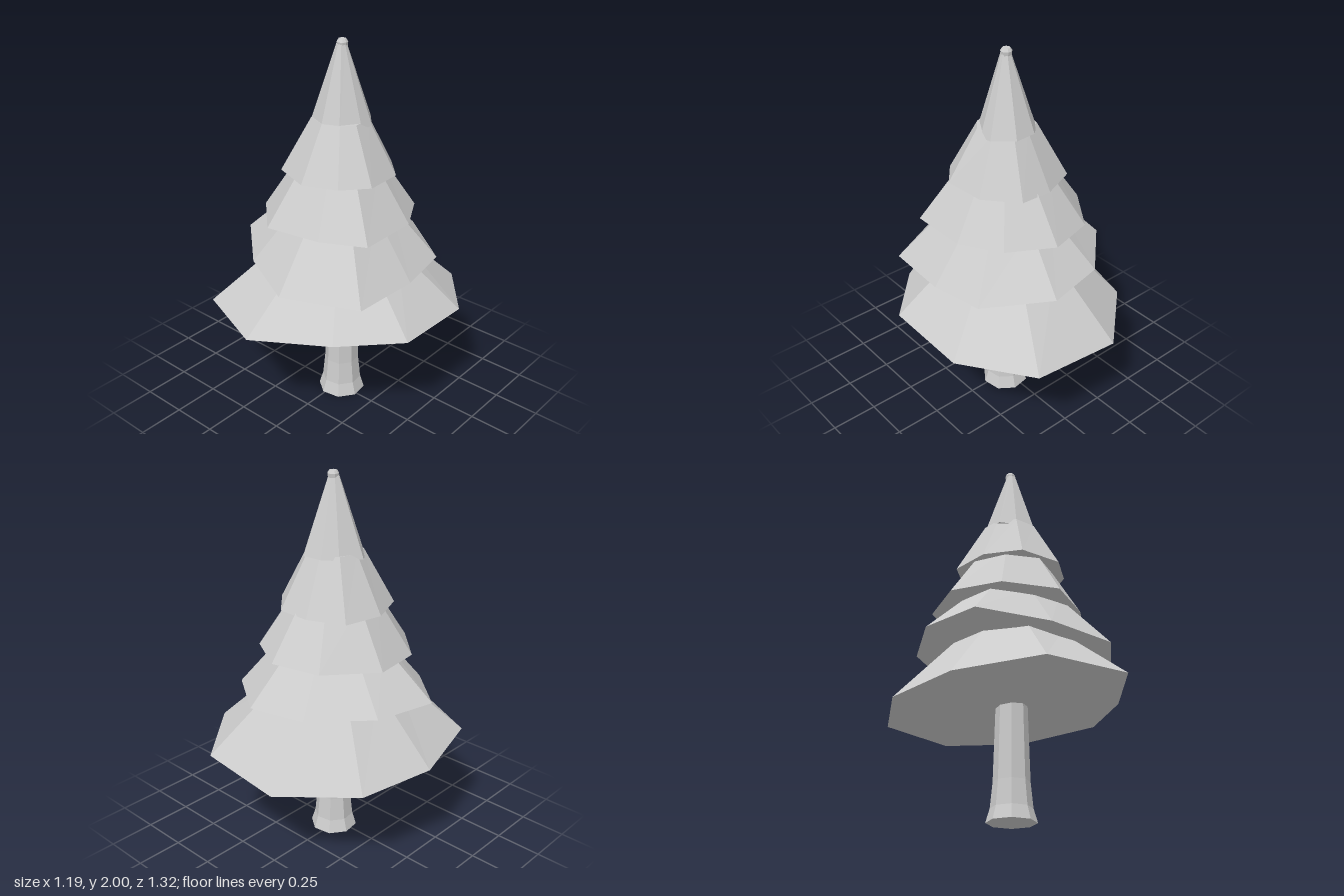
import * as THREE from 'three';

const material = new THREE.MeshStandardMaterial({ color: 0xcccccc, flatShading: true });
const CX = 0.015, CZ = -0.015; // axis of the tree

// Closed solid through rings of equal length, listed from bottom to top
function loft(rings) {
  const n = rings[0].length, pos = [];
  const tri = (...pts) => pts.forEach(p => pos.push(p.x, p.y, p.z));
  const centre = ring => ring.reduce((s, p) => s.add(p), new THREE.Vector3()).divideScalar(n);
  const first = rings[0], last = rings[rings.length - 1];
  const low = centre(first), high = centre(last);
  for (let i = 0; i < n; i++) {
    const j = (i + 1) % n;
    for (let r = 0; r < rings.length - 1; r++) {
      const a = rings[r], b = rings[r + 1];
      tri(a[i], b[i], a[j]);
      tri(b[i], b[j], a[j]);
    }
    tri(low, first[i], first[j]);
    tri(high, last[j], last[i]);
  }
  const g = new THREE.BufferGeometry();
  g.setAttribute('position', new THREE.Float32BufferAttribute(pos, 3));
  g.computeVertexNormals();
  return g;
}

// Tiers: hem outline [x, z], hem plane [height, slope in x, slope in z], top height and top scale
const tiers = [
  { hem: [[-0.165, -0.66], [0.32, -0.63], [0.59, -0.3], [0.595, 0.16], [0.34, 0.43], [-0.03, 0.655],
      [-0.48, 0.47], [-0.595, 0.04], [-0.5, -0.365]],
    plane: [0.585, 0.045, 0.05], top: 0.92, scale: 0.46 },
  { hem: [[-0.2, -0.465], [0.115, -0.52], [0.43, -0.3], [0.475, -0.01], [0.45, 0.35], [0.077, 0.525],
      [-0.25, 0.375], [-0.53, 0.12], [-0.46, -0.215]],
    plane: [0.865, -0.05, -0.03], top: 1.15, scale: 0.5 },
  { hem: [[-0.213, -0.365], [0.04, -0.435], [0.27, -0.305], [0.39, -0.095], [0.385, 0.225], [0.155, 0.325],
      [-0.147, 0.365], [-0.36, 0.16], [-0.4, -0.115]],
    plane: [1.1, 0.02, -0.025], top: 1.38, scale: 0.54 },
  { hem: [[-0.045, -0.28], [0.13, -0.28], [0.275, -0.13], [0.295, 0.087], [0.19, 0.215], [0.01, 0.28],
      [-0.21, 0.19], [-0.285, 0], [-0.235, -0.2]],
    plane: [1.33, 0.02, 0.03], top: 1.61, scale: 0.49 },
  { hem: [[-0.04, -0.165], [0.075, -0.17], [0.16, -0.075], [0.16, 0], [0.1, 0.1], [0.01, 0.14],
      [-0.1, 0.09], [-0.155, 0.015], [-0.105, -0.105]],
    plane: [1.58, -0.02, -0.08], top: 1.975, scale: 0.17 },
];

function tierGeometry({ hem, plane: [h, sx, sz], top, scale }) {
  const lower = hem.map(([x, z]) => new THREE.Vector3(x, h + sx * x + sz * z, z));
  const upper = hem.map(([x, z]) => new THREE.Vector3(CX + (x - CX) * scale, top, CZ + (z - CZ) * scale));
  return loft([lower, upper]);
}

export function createModel() {
  const group = new THREE.Group();
  const add = (name, geometry) => {
    const mesh = new THREE.Mesh(geometry, material);
    mesh.name = name;
    group.add(mesh);
    return mesh;
  };

  // Eight-sided trunk, flared at the foot
  const profile = [[0.127, 0], [0.106, 0.07], [0.093, 0.2], [0.08, 0.64]];
  const rings = profile.map(([r, y]) => Array.from({ length: 8 }, (_, i) => {
    const a = (i + 0.3) * Math.PI / 4;
    return new THREE.Vector3(0.02 + r * Math.cos(a), y, CZ + r * Math.sin(a));
  }));
  add('trunk', loft(rings));

  // Foliage skirts, from the bottom up
  tiers.forEach((tier, i) => add(`foliageTier${i + 1}`, tierGeometry(tier)));

  // Blunt bevelled tip
  const tip = new THREE.LatheGeometry(
    [[0, 1.96], [0.026, 1.965], [0.029, 1.985], [0.02, 2], [0, 2]].map(p => new THREE.Vector2(...p)), 9);
  add('tip', tip).position.set(CX, 0, -0.02);

  return group;
}
